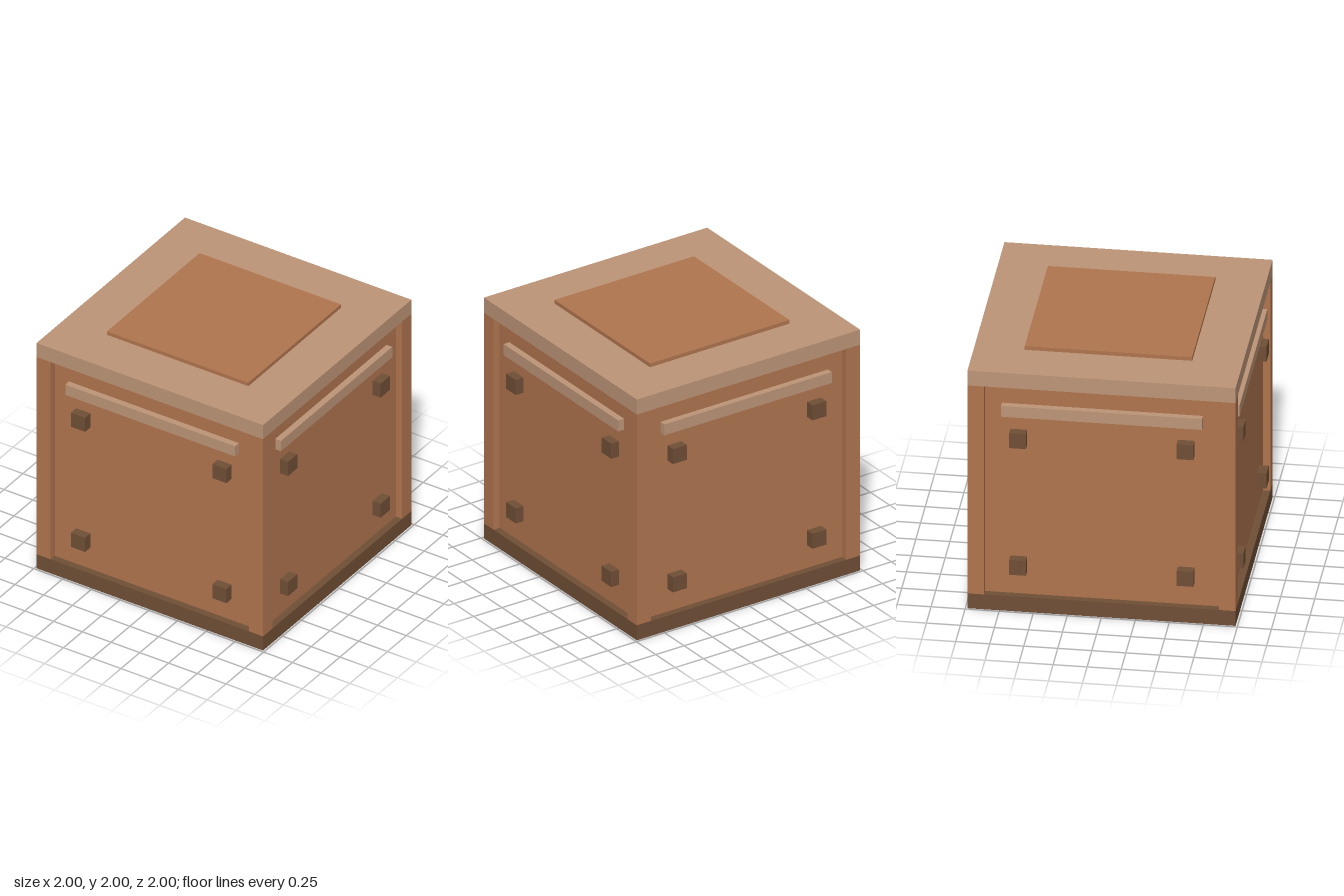
import * as THREE from 'three';

const HALF = 0.985;      // half width of the crate
const BEAM = 0.123;      // thickness of frame beams
const PANEL = 0.93;      // distance of the recessed panels from the centre
const TOP = 1.97;        // height of the lid

export function createModel() {
  const wood = new THREE.MeshStandardMaterial({ name: 'wood', color: 0xb0754e });
  const paleWood = new THREE.MeshStandardMaterial({ name: 'paleWood', color: 0xbe9578 });
  const darkWood = new THREE.MeshStandardMaterial({ name: 'darkWood', color: 0x704f36 });

  const crate = new THREE.Group();
  crate.name = 'crate';

  const box = (parent, name, material, size, position) => {
    const mesh = new THREE.Mesh(new THREE.BoxGeometry(...size), material);
    mesh.name = name;
    mesh.position.set(...position);
    parent.add(mesh);
  };

  // Base, lid and raised top plate
  box(crate, 'base', darkWood, [HALF * 2, BEAM, HALF * 2], [0, BEAM / 2, 0]);
  box(crate, 'lid', paleWood, [HALF * 2, BEAM, HALF * 2], [0, TOP - BEAM / 2, 0]);
  box(crate, 'topPlate', wood, [1.23, 0.03, 1.23], [0, TOP + 0.015, 0]);

  // Body whose faces form the recessed panels
  const bodyHeight = TOP - BEAM * 2;
  box(crate, 'body', wood, [PANEL * 2, bodyHeight, PANEL * 2], [0, TOP / 2, 0]);

  // Corner posts
  const corner = HALF - BEAM / 2;
  for (const x of [-corner, corner]) {
    for (const z of [-corner, corner]) {
      box(crate, 'cornerPost', wood, [BEAM, bodyHeight, BEAM], [x, TOP / 2, z]);
    }
  }

  // The same rail and four studs on every side
  for (let i = 0; i < 4; i++) {
    const side = new THREE.Group();
    side.name = 'sideFittings';
    side.rotation.y = i * Math.PI / 2;
    box(side, 'rail', paleWood, [1.477, 0.09, 0.1], [0, 1.648, 0.93]);
    for (const x of [-0.615, 0.615]) {
      for (const y of [0.37, 1.42]) {
        box(side, 'stud', darkWood, [BEAM, BEAM, BEAM], [x, y, 1 - BEAM / 2]);
      }
    }
    crate.add(side);
  }

  return crate;
}
